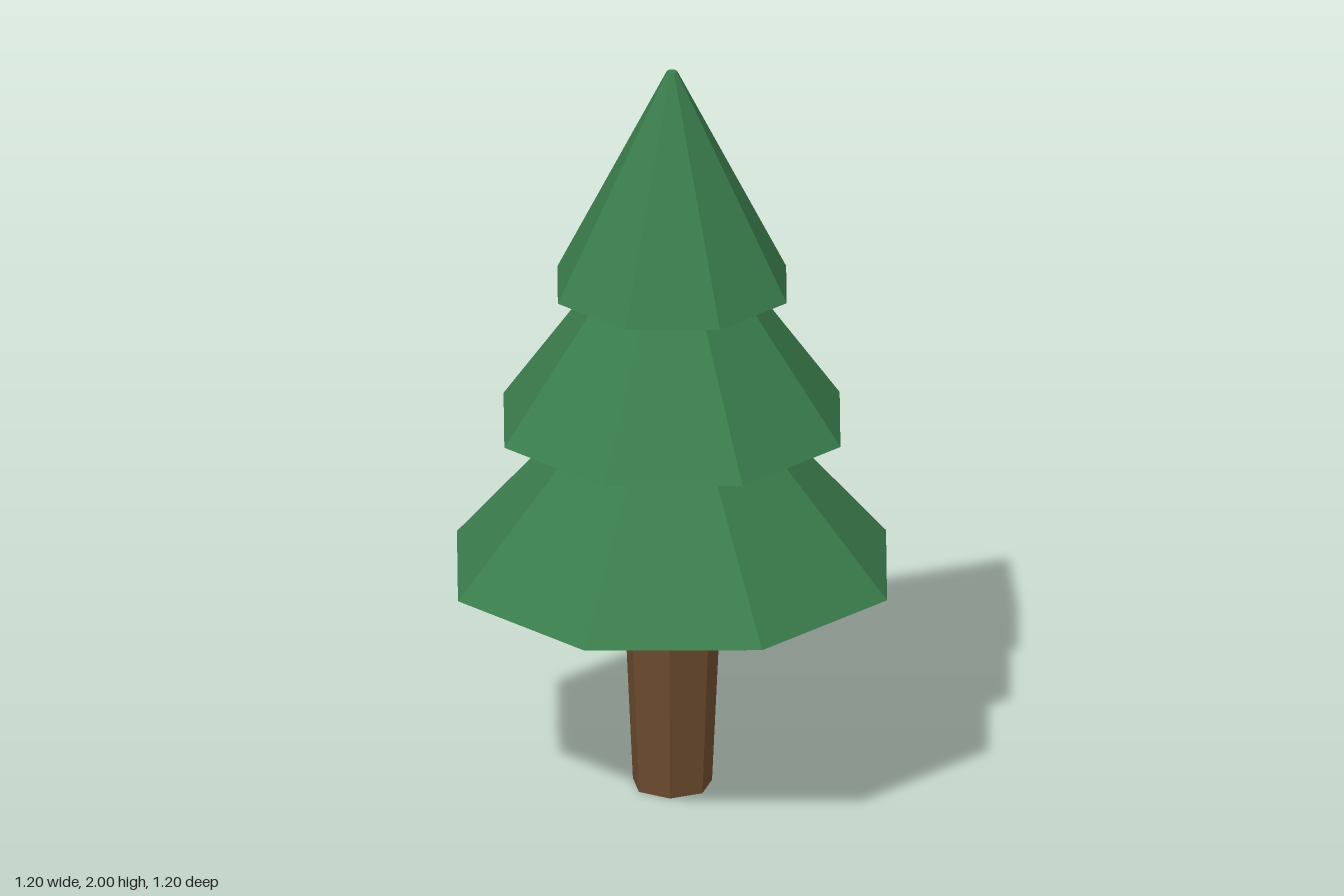
import * as THREE from 'three';

const foliage = new THREE.MeshStandardMaterial({ name: 'foliage green', color: 0x3a7d4c, flatShading: true });
const bark = new THREE.MeshStandardMaterial({ name: 'bark brown', color: 0x6b4a2e, flatShading: true });

// Tapered prism standing on height y
function frustum(name, topRadius, bottomRadius, y, height, sides, material) {
  const geometry = new THREE.CylinderGeometry(topRadius, bottomRadius, height, sides);
  geometry.translate(0, y + height / 2, 0);
  const mesh = new THREE.Mesh(geometry, material);
  mesh.name = name;
  return mesh;
}

export function createModel() {
  const tree = new THREE.Group();
  tree.name = 'pineTree';

  // Seven-sided trunk, wider at the top, with a corner towards the back
  const trunk = frustum('trunk', 0.134, 0.105, 0, 0.62, 7, bark);
  trunk.rotation.y = Math.PI;
  tree.add(trunk);

  // Three stacked eight-sided branch tiers
  const tiers = [
    ['lowerBranches', 0.6, 0.61, 0.68],
    ['middleBranches', 0.47, 1.02, 0.64],
    ['upperBranches', 0.32, 1.4, 0.6],
  ];
  for (const [name, radius, y, height] of tiers) {
    tree.add(frustum(name, 0.014, radius, y, height, 8, foliage));
  }
  return tree;
}
